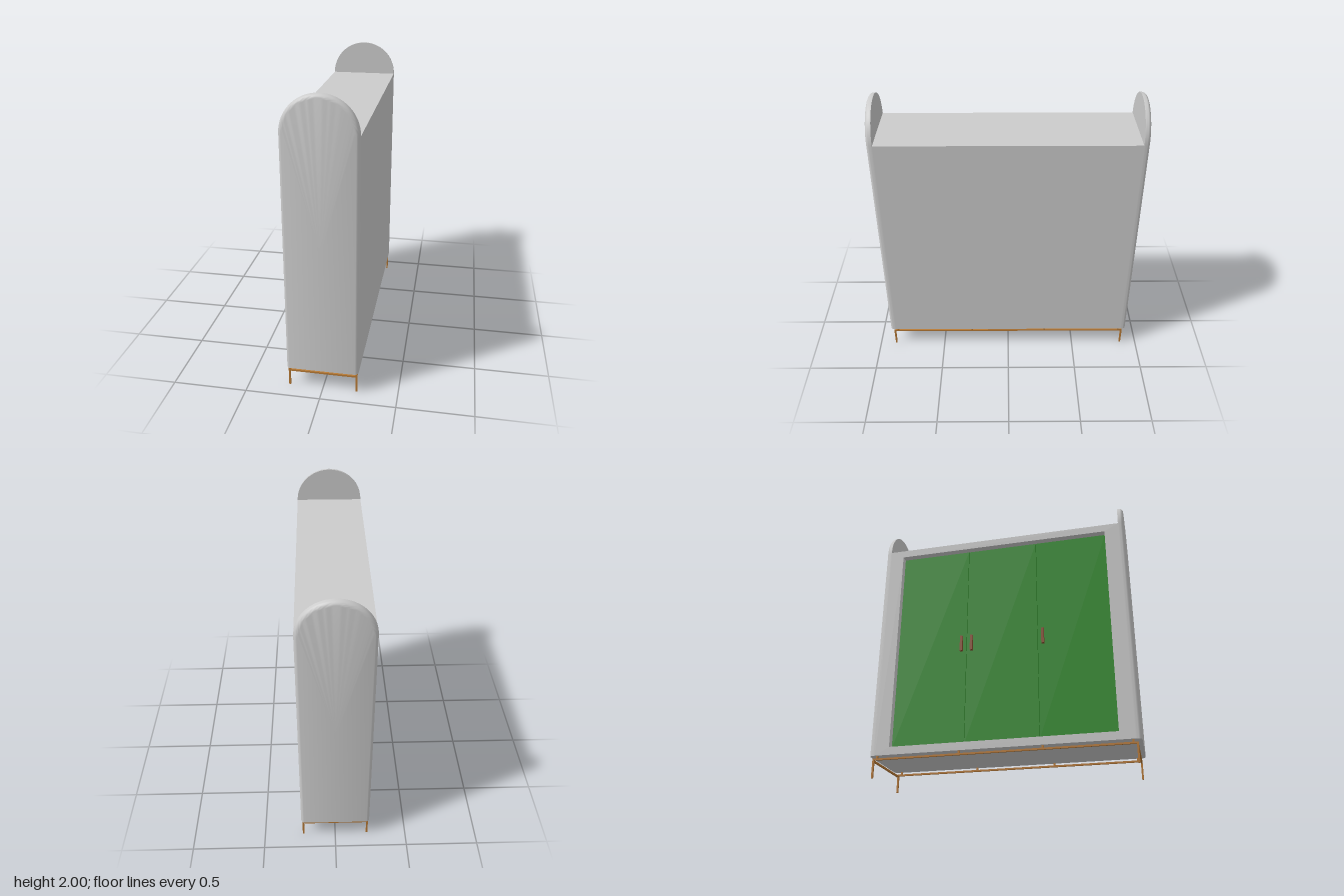
import * as THREE from 'three';
import { toCreasedNormals } from 'three/addons/utils/BufferGeometryUtils.js';

const HALF_W = 0.24, BASE = 0.15, TOP = 1.76, INNER_Z = 0.87, PANEL = 0.04;
const OPEN_Z = 0.77, OPEN_LOW = 0.205, OPEN_HIGH = 1.705;

const grey = new THREE.MeshStandardMaterial({ color: 0xcccccc });
const green = new THREE.MeshStandardMaterial({ color: 0x2a8a24 });
const brass = new THREE.MeshStandardMaterial({ color: 0xb87a35 });
const brown = new THREE.MeshStandardMaterial({ color: 0x8a5030 });

function box(parent, name, material, size, pos) {
  const mesh = new THREE.Mesh(new THREE.BoxGeometry(...size), material);
  mesh.name = name;
  mesh.position.set(...pos);
  parent.add(mesh);
  return mesh;
}

// Arched end panel: arch outlines stacked along z, rounded on the outer edge only
function endPanelGeometry() {
  const round = 0.028, arcSteps = 40, roundSteps = 6;
  const outline = (radius, z) => {
    const points = [new THREE.Vector3(radius, BASE, z)];
    for (let i = 0; i <= arcSteps; i++) {
      const a = (i / arcSteps) * Math.PI;
      points.push(new THREE.Vector3(radius * Math.cos(a), TOP + radius * Math.sin(a), z));
    }
    points.push(new THREE.Vector3(-radius, BASE, z));
    return points;
  };
  const rings = [outline(HALF_W, 0)];
  for (let k = 0; k <= roundSteps; k++) {
    const a = (k / roundSteps) * Math.PI / 2;
    rings.push(outline(HALF_W - round * (1 - Math.cos(a)), PANEL - round * (1 - Math.sin(a))));
  }
  const triangles = [];
  const n = rings[0].length;
  for (let i = 0; i < n; i++) {
    const j = (i + 1) % n;
    for (let k = 0; k < rings.length - 1; k++) {
      const a = rings[k][i], b = rings[k][j], c = rings[k + 1][j], d = rings[k + 1][i];
      triangles.push(a, b, c, a, c, d);
    }
    // flat inner and outer faces
    const last = rings[rings.length - 1];
    triangles.push(new THREE.Vector3(0, 1, 0), rings[0][j], rings[0][i]);
    triangles.push(new THREE.Vector3(0, 1, PANEL), last[i], last[j]);
  }
  const geometry = new THREE.BufferGeometry().setFromPoints(triangles);
  return toCreasedNormals(geometry, Math.PI / 5);
}

function rectangle(path, halfWidth, low, high) {
  path.moveTo(-halfWidth, low);
  path.lineTo(halfWidth, low);
  path.lineTo(halfWidth, high);
  path.lineTo(-halfWidth, high);
  path.closePath();
  return path;
}

function createCabinet() {
  const cabinet = new THREE.Group();
  cabinet.name = 'cabinet';

  // Carcass open towards -x, closed by a back panel
  const backThickness = 0.02;
  const shape = rectangle(new THREE.Shape(), INNER_Z, BASE, TOP);
  shape.holes.push(rectangle(new THREE.Path(), OPEN_Z, OPEN_LOW, OPEN_HIGH));
  const carcass = new THREE.Mesh(
    new THREE.ExtrudeGeometry(shape, { depth: 2 * HALF_W - backThickness, bevelEnabled: false }), grey);
  carcass.name = 'carcass';
  carcass.rotation.y = -Math.PI / 2;
  carcass.position.x = HALF_W - backThickness;
  cabinet.add(carcass);
  box(cabinet, 'backPanel', grey, [backThickness, TOP - BASE, 2 * INNER_Z],
    [HALF_W - backThickness / 2, (TOP + BASE) / 2, 0]);

  // Arched ends
  const panelGeometry = endPanelGeometry();
  for (const side of [1, -1]) {
    const panel = new THREE.Mesh(panelGeometry, grey);
    panel.name = 'archedEndPanel';
    panel.position.z = side * INNER_Z;
    panel.rotation.y = side > 0 ? 0 : Math.PI;
    cabinet.add(panel);
  }
  return cabinet;
}

function createDoors() {
  const doors = new THREE.Group();
  doors.name = 'doors';
  const width = (2 * OPEN_Z) / 3, gap = 0.003;
  const handleOffsets = [width / 2 - 0.037, -width / 2 + 0.037, -width / 2 + 0.037];
  handleOffsets.forEach((offset, i) => {
    const z = (i - 1) * width;
    box(doors, 'door', green, [0.02, OPEN_HIGH - OPEN_LOW - gap, width - gap],
      [-0.185, (OPEN_LOW + OPEN_HIGH) / 2, z]);
    box(doors, 'handle', brown, [0.02, 0.115, 0.018], [-0.205, 0.94, z + offset]);
  });
  return doors;
}

function createBase() {
  const base = new THREE.Group();
  base.name = 'base';
  const t = 0.012, legX = 0.226, legZ = 0.88;
  for (const x of [legX, -legX]) {
    box(base, 'longRail', brass, [t, t, 2 * legZ + t], [x, 0.127, 0]);
    for (const z of [legZ, -legZ]) box(base, 'leg', brass, [t, 0.133, t], [x, 0.0665, z]);
    // short spacers carrying the cabinet
    for (const z of [-0.855, -0.28, 0.28, 0.855]) box(base, 'spacer', brass, [t, 0.02, t], [x, 0.141, z]);
  }
  for (const z of [legZ, -legZ]) box(base, 'endRail', brass, [2 * legX, t, t], [0, 0.117, z]);
  return base;
}

export function createModel() {
  const model = new THREE.Group();
  model.name = 'archedWardrobe';
  model.add(createCabinet(), createDoors(), createBase());
  return model;
}
